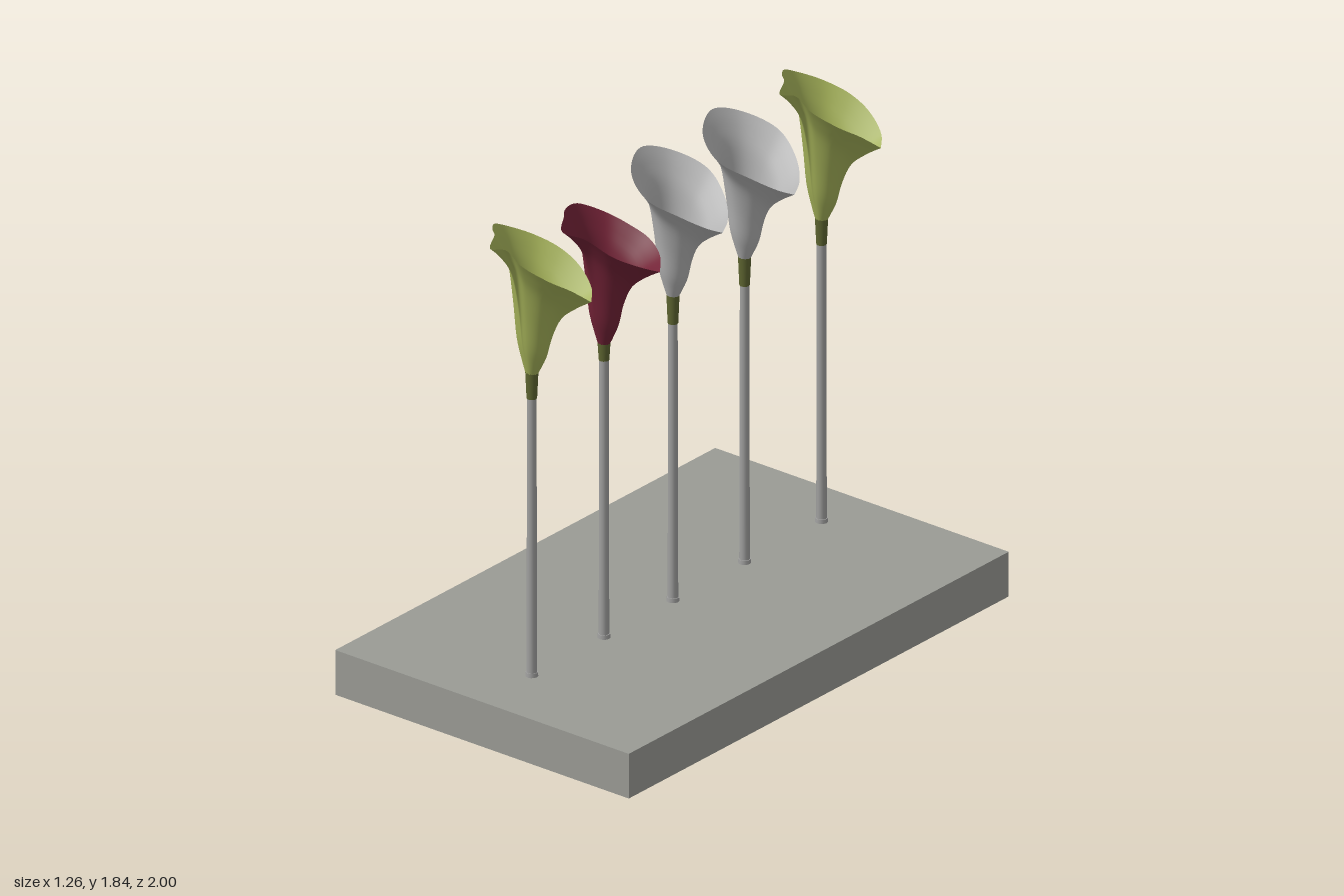
import * as THREE from 'three';

const mat = (name, color, side = THREE.FrontSide) => {
  const m = new THREE.MeshStandardMaterial({ color, side });
  m.name = name;
  return m;
};

// Rim outlines [x, z, y] around the stem, from the fold corner all the way round and back to it
const CUP_RIM = [
  [0.185, -0.035, 1.565], [0.17, 0.03, 1.60], [0.12, 0.115, 1.66], [0.02, 0.163, 1.71], [-0.09, 0.11, 1.76],
  [-0.14, 0, 1.795], [-0.1, -0.1, 1.765], [0.02, -0.157, 1.71], [0.12, -0.128, 1.64], [0.17, -0.08, 1.59], [0.185, -0.035, 1.565],
];
const TIPPED_RIM = [
  [0.182, -0.09, 1.565], [0.165, 0, 1.635], [0.135, 0.08, 1.69], [0.06, 0.132, 1.745], [0.02, 0.16, 1.80],
  [0, 0.22, 1.822], [-0.03, 0.16, 1.84], [-0.08, 0.11, 1.83], [-0.12, 0.05, 1.815], [-0.13, -0.02, 1.78],
  [-0.08, -0.1, 1.735], [0, -0.142, 1.695], [0.08, -0.15, 1.65], [0.155, -0.125, 1.595], [0.182, -0.09, 1.565],
];
const LOW_RIM = [
  [0.2, -0.05, 1.555], [0.18, 0.02, 1.59], [0.12, 0.1, 1.64], [0.04, 0.15, 1.70], [-0.01, 0.208, 1.735],
  [-0.05, 0.15, 1.757], [-0.1, 0.08, 1.745], [-0.13, -0.02, 1.72], [-0.08, -0.1, 1.675], [0, -0.132, 1.64],
  [0.08, -0.14, 1.61], [0.15, -0.11, 1.58], [0.2, -0.05, 1.555],
];

// Trumpet profile: height fraction against radius fraction
const PROFILE = new THREE.SplineCurve([
  [0, 0.13], [0.1, 0.22], [0.25, 0.33], [0.5, 0.42], [0.75, 0.56], [0.9, 0.79], [1, 1],
].map(([t, f]) => new THREE.Vector2(t, f)));

// Wrapped petal: rings growing from a round throat into the rim outline
function petalGeometry(rim, baseY) {
  const across = 72, up = 24;
  const curve = new THREE.CatmullRomCurve3(rim.map(([x, z, y]) => new THREE.Vector3(x, y, z)), false, 'centripetal');
  const edge = curve.getPoints(across);
  const pos = [], index = [];
  for (const { x: t, y: f } of PROFILE.getPoints(up)) {
    for (const p of edge) {
      const reach = Math.hypot(p.x, p.z);
      const r = f * THREE.MathUtils.lerp(0.155, reach, t * t) / reach;
      pos.push(p.x * r, baseY + (p.y - baseY) * t, p.z * r);
    }
  }
  const row = across + 1;
  for (let j = 0; j < up; j++) {
    for (let i = 0; i < across; i++) {
      const a = j * row + i, b = a + 1, c = a + row, d = c + 1;
      index.push(a, b, c, b, d, c);
    }
  }
  const g = new THREE.BufferGeometry();
  g.setAttribute('position', new THREE.Float32BufferAttribute(pos, 3));
  g.setIndex(index);
  g.computeVertexNormals();
  return g;
}

export function createModel() {
  const group = new THREE.Group();
  const stone = mat('stone grey', 0x9a9b95);
  const stemGrey = mat('stem grey', 0xa0a09f);
  const olive = mat('olive green', 0x5d6430);
  const white = mat('pale grey petal', 0xb2b2b2, THREE.DoubleSide);
  const lime = mat('lime petal', 0xa3b058, THREE.DoubleSide);
  const red = mat('crimson petal', 0x722236, THREE.DoubleSide);

  const add = (parent, name, geometry, material, y = 0) => {
    const mesh = new THREE.Mesh(geometry, material);
    mesh.name = name;
    mesh.position.y = y;
    parent.add(mesh);
  };

  // Base slab
  add(group, 'base', new THREE.BoxGeometry(1.26, 0.165, 2), stone, 0.0825);

  // Row of flowers
  const flowers = [
    [0.738, TIPPED_RIM, lime, 1.28],
    [0.358, LOW_RIM, red, 1.25],
    [-0.005, CUP_RIM, white, 1.29],
    [-0.382, CUP_RIM, white, 1.29],
    [-0.787, TIPPED_RIM, lime, 1.28],
  ];
  for (const [z, rim, material, baseY] of flowers) {
    const flower = new THREE.Group();
    flower.name = 'flower';
    flower.position.z = z;
    add(flower, 'stem', new THREE.CylinderGeometry(0.016, 0.018, 1.06, 12), stemGrey, 0.69);
    add(flower, 'stemFoot', new THREE.CylinderGeometry(0.021, 0.022, 0.015, 12), stemGrey, 0.172);
    // Green collar where the petal meets the stem
    const collarHeight = baseY + 0.02 - 1.19;
    add(flower, 'collar', new THREE.CylinderGeometry(0.023, 0.018, collarHeight, 12), olive, 1.19 + collarHeight / 2);
    add(flower, 'petal', petalGeometry(rim, baseY), material);
    group.add(flower);
  }
  return group;
}
